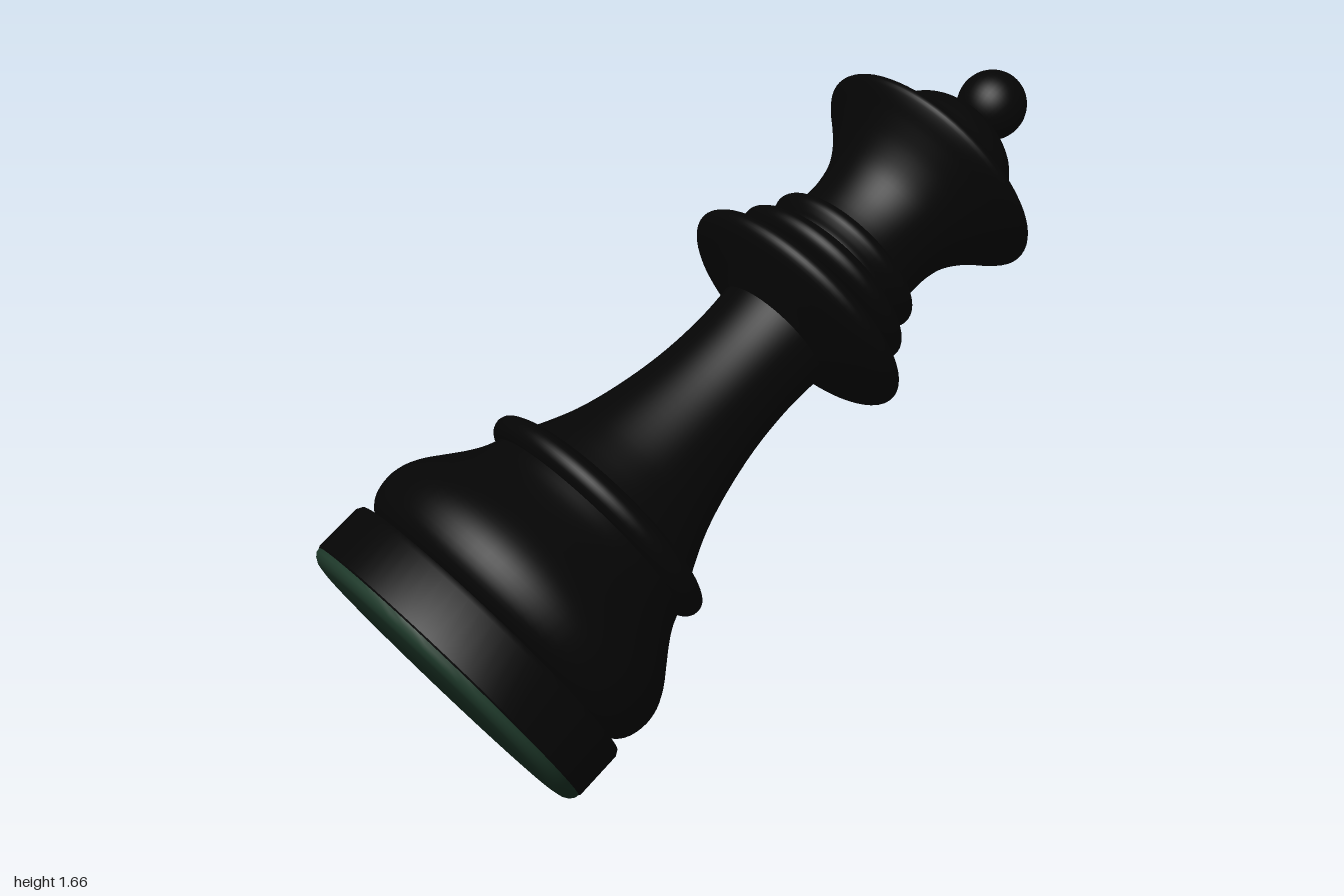
import * as THREE from 'three';
import { toCreasedNormals } from 'three/addons/utils/BufferGeometryUtils.js';

const SIDES = 72;

// Profiles are [radius, height along the axis], listed from bottom to top.
function turnedSmooth(profile, steps) {
  const curve = new THREE.CatmullRomCurve3(profile.map(([r, h]) => new THREE.Vector3(r, h, 0)));
  const pts = curve.getPoints(steps).map(p => new THREE.Vector2(Math.max(p.x, 0), p.y));
  return new THREE.LatheGeometry(pts, SIDES);
}

function turnedSharp(profile) {
  const pts = profile.map(([r, h]) => new THREE.Vector2(r, h));
  return toCreasedNormals(new THREE.LatheGeometry(pts, SIDES), 0.6);
}

export function createModel() {
  const black = new THREE.MeshStandardMaterial({ color: 0x050505 });
  black.name = 'black lacquer';
  const green = new THREE.MeshStandardMaterial({ color: 0x1f3a2b });
  green.name = 'green felt';

  const model = new THREE.Group();
  model.name = 'chessQueen';
  const piece = new THREE.Group();
  piece.name = 'turnedPiece';
  model.add(piece);

  const add = (name, geometry, material = black) => {
    const mesh = new THREE.Mesh(geometry, material);
    mesh.name = name;
    piece.add(mesh);
    return mesh;
  };

  // Felt pad with rounded edge, and the plinth above it
  add('feltPad', turnedSharp([[0, -0.026], [0.39, -0.026], [0.412, -0.022], [0.426, -0.014],
    [0.434, -0.004], [0.436, 0.006]]), green);
  add('plinth', turnedSharp([[0.436, 0.006], [0.439, 0.01], [0.439, 0.135], [0.432, 0.148], [0.37, 0.155]]));

  // Rounded body
  add('bulge', turnedSmooth([[0.36, 0.148], [0.4, 0.16], [0.428, 0.19], [0.44, 0.24], [0.435, 0.285],
    [0.415, 0.33], [0.38, 0.38], [0.348, 0.425], [0.325, 0.465], [0.308, 0.51], [0.3, 0.53]], 32));
  add('lowerRing', turnedSmooth([[0.29, 0.498], [0.318, 0.503], [0.338, 0.515], [0.346, 0.535],
    [0.341, 0.554], [0.32, 0.569], [0.285, 0.58], [0.24, 0.588]], 24));
  add('stem', turnedSmooth([[0.285, 0.565], [0.258, 0.62], [0.225, 0.7], [0.195, 0.81],
    [0.172, 0.94], [0.163, 1.06], [0.164, 1.15], [0.172, 1.24]], 28));

  // Stacked collar rings
  add('collar', turnedSmooth([[0.16, 1.195], [0.2, 1.212], [0.26, 1.234], [0.31, 1.255], [0.335, 1.276],
    [0.34, 1.295], [0.328, 1.314], [0.29, 1.33], [0.24, 1.345], [0.19, 1.36]], 32));
  add('middleRing', turnedSmooth([[0.22, 1.347], [0.25, 1.358], [0.266, 1.376], [0.267, 1.396],
    [0.25, 1.414], [0.215, 1.43], [0.18, 1.44]], 24));
  add('upperRing', turnedSmooth([[0.2, 1.36], [0.206, 1.43], [0.22, 1.45], [0.23, 1.47], [0.227, 1.487],
    [0.21, 1.502], [0.17, 1.512]], 24));

  // Flared crown with domed top and ball
  add('crown', turnedSmooth([[0.195, 1.48], [0.188, 1.535], [0.19, 1.595], [0.205, 1.655], [0.24, 1.713],
    [0.285, 1.763], [0.32, 1.797], [0.333, 1.817], [0.327, 1.833], [0.29, 1.847], [0.24, 1.865]], 40));
  add('crownDome', turnedSmooth([[0.25, 1.86], [0.22, 1.876], [0.201, 1.9], [0.187, 1.928],
    [0.158, 1.964], [0.112, 1.994], [0.06, 2.012], [0, 2.018]], 28));
  add('finial', new THREE.SphereGeometry(0.094, 40, 28)).position.y = 2.088;

  // Tilt the whole piece along its axis
  const axis = new THREE.Vector3(0.778, 0.558, -0.288).normalize();
  piece.quaternion.setFromUnitVectors(new THREE.Vector3(0, 1, 0), axis);
  piece.position.set(-0.72, 0.36, 0.213);
  return model;
}
